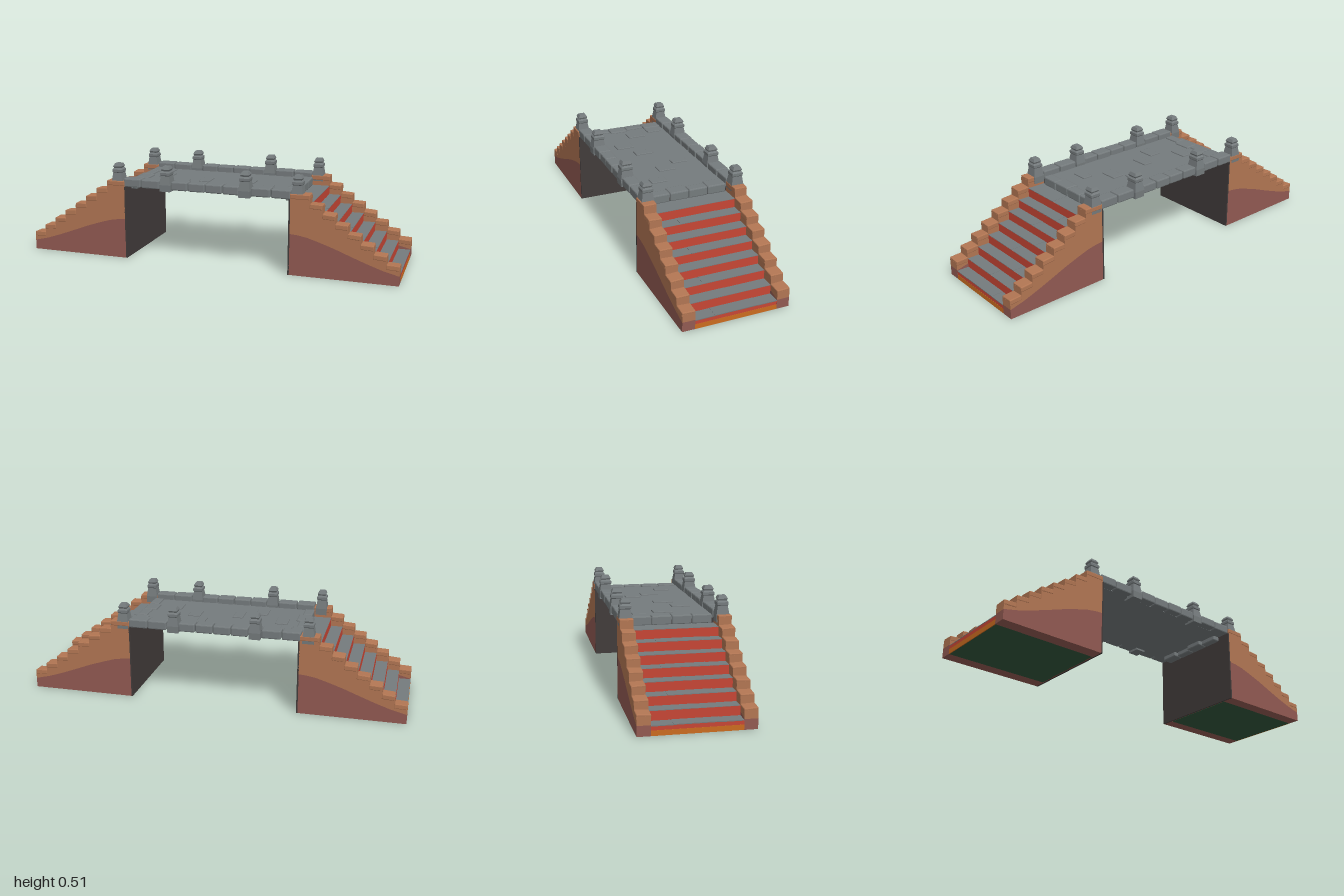
import * as THREE from 'three';
import { RoundedBoxGeometry } from 'three/addons/geometries/RoundedBoxGeometry.js';

const mat = (name, color) => {
  const m = new THREE.MeshStandardMaterial({ color });
  m.name = name;
  return m;
};

// Gives every face its own flat normal
function flat(geo) {
  const g = geo.index ? geo.toNonIndexed() : geo;
  g.computeVertexNormals();
  return g;
}

export function createModel() {
  const stone = mat('grey stone', 0x757b7d);
  const tan = mat('tan brick', 0xb27653);
  const plinth = mat('dark brick', 0x925a52);
  const red = mat('red riser', 0xc74635);
  const orange = mat('orange kerb', 0xcb6c20);
  const dark = mat('dark end wall', 0x423c3b);
  const green = mat('dark green base', 0x33573d);

  const model = new THREE.Group();
  model.name = 'bridge';

  function add(parent, name, geo, material, x = 0, y = 0, z = 0) {
    const mesh = new THREE.Mesh(geo, material);
    mesh.name = name;
    mesh.position.set(x, y, z);
    parent.add(mesh);
    return mesh;
  }
  const box = (parent, name, m, w, h, d, x, y, z) =>
    add(parent, name, new THREE.BoxGeometry(w, h, d), m, x, y, z);
  // Block with chamfered edges
  const block = (parent, name, m, w, h, d, x, y, z, r = 0.006) =>
    add(parent, name, flat(new RoundedBoxGeometry(w, h, d, 1, r)), m, x, y, z);
  // Side profile in x and y, given a depth along z
  function slab(parent, name, m, points, z0, z1) {
    const shape = new THREE.Shape(points.map(([x, y]) => new THREE.Vector2(x, y)));
    const geo = new THREE.ExtrudeGeometry(shape, { depth: z1 - z0, bevelEnabled: false });
    return add(parent, name, geo, m, 0, 0, z0);
  }

  const COUNT = 8, INNER = 0.45, RISE = 0.0456, MID = 0.0045;
  const HALF = 0.209, WALL = 0.273;
  const edge = i => (i === COUNT ? INNER : 1 - 0.0643 * i);

  // Stepped outline, from the outer end to the inner end
  function steps(first) {
    const pts = [];
    for (let i = 0; i < COUNT; i++) {
      pts.push([edge(i), first + RISE * i], [edge(i + 1), first + RISE * i]);
    }
    return pts;
  }

  // Wavy top of the dark brick band
  const band = [[1, 0.05], [0.92, 0.07], [0.84, 0.097], [0.76, 0.127], [0.68, 0.158],
    [0.6, 0.185], [0.54, 0.203], [0.49, 0.212], [INNER, 0.215]];

  function staircase(name) {
    const g = new THREE.Group();
    g.name = name;
    slab(g, 'risers', red, [[INNER, 0.002], [0.999, 0.002], ...steps(RISE).map(([x, y]) => [Math.min(x, 0.999), y])], -HALF, HALF);
    box(g, 'kerb', orange, 0.004, 0.025, HALF * 2, 0.998, 0.0125, 0);
    box(g, 'underside', green, 0.54, 0.004, HALF * 2, 0.726, 0.002, 0);
    box(g, 'endWall', dark, 0.008, 0.39, WALL * 2, INNER - 0.003, 0.195, 0);

    // Treads, with staggered joints
    for (let i = 0; i < COUNT; i++) {
      const cuts = i % 2 ? [-HALF, 0, HALF] : [-HALF, -0.11, 0.11, HALF];
      for (let k = 0; k + 1 < cuts.length; k++) {
        box(g, 'tread', stone, edge(i) - edge(i + 1) - 0.001, 0.004, cuts[k + 1] - cuts[k],
          (edge(i) + edge(i + 1)) / 2, RISE * (i + 1) - 0.0005 + (k % 2) * 0.0012,
          (cuts[k] + cuts[k + 1]) / 2);
      }
    }

    // Side walls with a stepped row of cap stones
    for (const s of [-1, 1]) {
      const z0 = s > 0 ? HALF : -WALL, z1 = s > 0 ? WALL : -HALF;
      slab(g, 'wallBase', plinth, [[INNER, 0], [1, 0], ...band], z0, z1);
      slab(g, 'wall', tan, [...band].reverse().concat(steps(0.09)), z0, z1);
      for (let i = 0; i < COUNT; i++) {
        const w = edge(i) - edge(i + 1);
        const cap = block(g, 'capStone', tan, w + 0.001, 0.026, WALL - HALF + 0.003,
          (edge(i) + edge(i + 1)) / 2 - 0.001, 0.088 + RISE * i, s * (HALF + WALL) / 2, 0.004);
        cap.rotation.z = i === COUNT - 1 ? 0 : -0.05 - 0.03 * (i % 2);
        cap.rotation.x = s * (i % 3 - 1) * 0.05;
      }
    }
    g.position.z = MID;
    model.add(g);
    return g;
  }
  staircase('leftStairs');
  staircase('rightStairs').rotation.y = Math.PI;

  // Deck slab and the raised flagstones
  const deck = new THREE.Group();
  deck.name = 'deck';
  model.add(deck);
  box(deck, 'deckSlab', stone, 0.9, 0.013, 0.46, 0, 0.3965, MID / 2);
  const flags = [[-0.355, -0.14, 0.055, 0.08], [-0.32, -0.02, 0.065, 0.1], [-0.19, 0.1, 0.065, 0.095],
    [-0.075, 0.03, 0.055, 0.1], [0.1, -0.1, 0.045, 0.085], [0.16, 0, 0.065, 0.095], [0.285, 0.095, 0.055, 0.085]];
  for (const [x, z, w, d] of flags) block(deck, 'flagstone', stone, w, 0.014, d, x, 0.402, z, 0.003);

  // Edge stones where the deck meets the stairs
  for (const s of [-1, 1]) {
    for (let i = 0; i < 4; i++) {
      const w = i % 2 ? 0.052 : 0.07;
      block(deck, 'edgeStone', stone, w, 0.046, 0.099, s * (0.459 - w / 2), 0.388, -0.15 + i * 0.101);
    }
  }

  // Kerb stones along both sides of the deck
  const kerbs = [[-0.455, -0.36], [-0.355, -0.255], [-0.185, -0.098], [-0.093, -0.004],
    [0.001, 0.09], [0.095, 0.18], [0.245, 0.345], [0.35, 0.45]];
  for (const s of [-1, 1]) {
    kerbs.forEach(([a, b], i) => {
      block(deck, 'kerbStone', stone, b - a, 0.045, 0.069 - 0.004 * (i % 2),
        (a + b) / 2, 0.413 - 0.001 * (i % 2), s * 0.238 + MID / 2);
    });
  }

  // Square posts with a collar and a tapered cap
  const profile = [[0, 0.38], [0.032, 0.38], [0.033, 0.415], [0.025, 0.462], [0.028, 0.466], [0.028, 0.479],
    [0.021, 0.487], [0.025, 0.496], [0.017, 0.511], [0, 0.511]]
    .map(([r, y]) => new THREE.Vector2(r * Math.SQRT2, y));
  const postGeo = new THREE.LatheGeometry(profile, 4);
  postGeo.rotateY(Math.PI / 4);
  const post = flat(postGeo);
  for (const x of [-0.493, -0.22, 0.21, 0.483]) {
    for (const s of [-1, 1]) {
      const p = add(model, 'post', post, stone, x, 0, s * 0.239 + MID / 2);
      p.scale.x = 0.92;
      p.scale.z = Math.abs(x) < 0.3 ? 1.08 : 1;
    }
  }
  return model;
}
